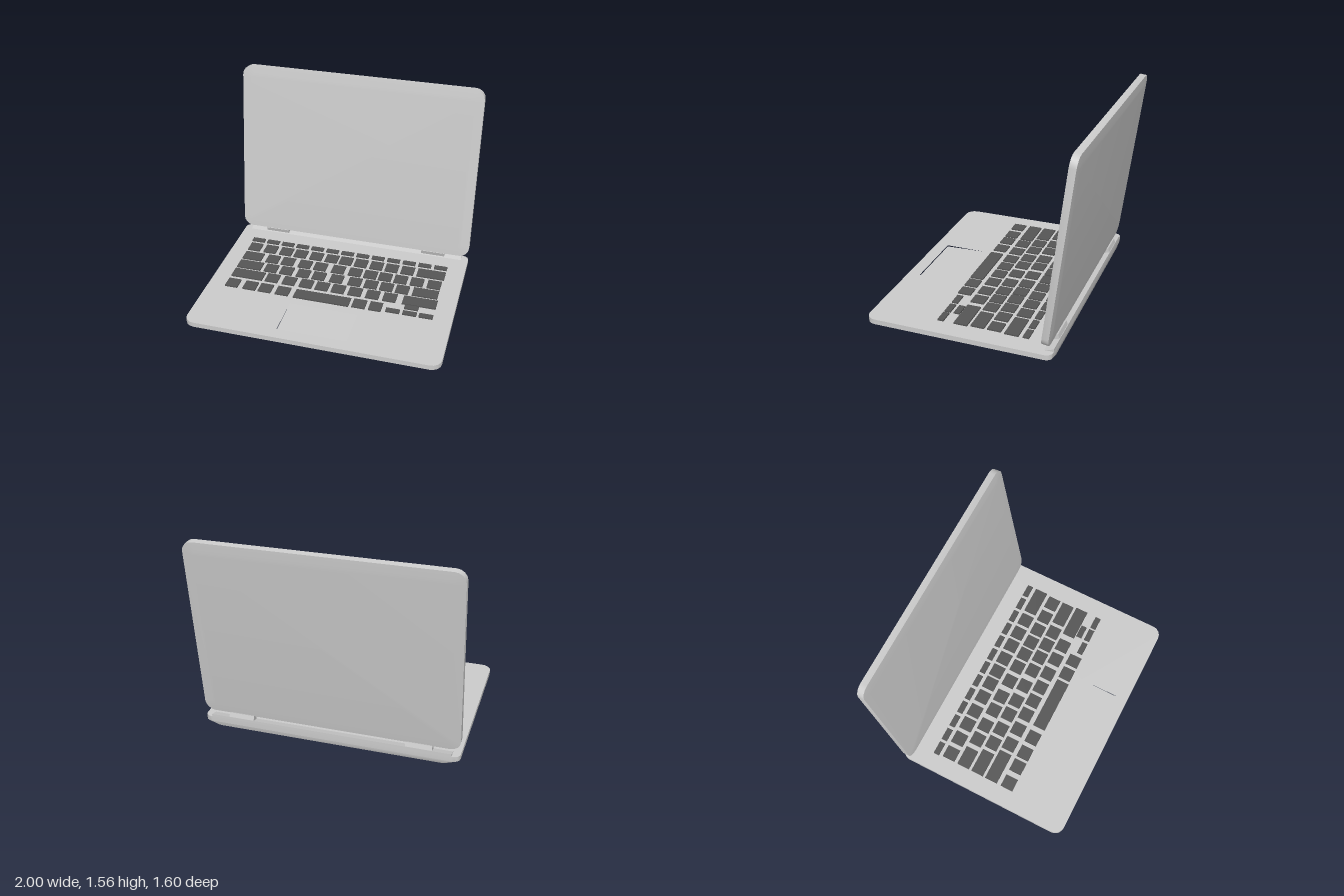
import * as THREE from 'three';
import { toCreasedNormals } from 'three/addons/utils/BufferGeometryUtils.js';

const grey = new THREE.MeshStandardMaterial({ color: 0xcccccc });
const dark = new THREE.MeshStandardMaterial({ color: 0x555555 });

function add(parent, name, geometry, material = grey) {
  const mesh = new THREE.Mesh(geometry, material);
  mesh.name = name;
  parent.add(mesh);
  return mesh;
}

// Rounded rectangle in (x, -z), counter-clockwise from above
function outline(halfX, back, front, rFront, rBack) {
  const pts = [];
  const corner = (x, s, r, start) => {
    for (let i = 0; i <= 4; i++) {
      const a = start + (i / 4) * Math.PI / 2;
      pts.push(new THREE.Vector2(x + r * Math.cos(a), s + r * Math.sin(a)));
    }
  };
  corner(halfX - rBack, -back - rBack, rBack, 0);
  corner(-halfX + rBack, -back - rBack, rBack, Math.PI / 2);
  corner(-halfX + rFront, -front + rFront, rFront, Math.PI);
  corner(halfX - rFront, -front + rFront, rFront, Math.PI * 1.5);
  return pts;
}

// Skin stacked outlines from bottom to top, with a flat bottom and optional top
function loft(rings, capTop) {
  const pos = [], index = [], n = rings[0].pts.length;
  for (const { y, pts } of rings) for (const p of pts) pos.push(p.x, y, -p.y);
  for (let r = 0; r < rings.length - 1; r++) {
    for (let i = 0; i < n; i++) {
      const j = (i + 1) % n, a = r * n + i, b = r * n + j;
      index.push(a, b, b + n, a, b + n, a + n);
    }
  }
  const last = (rings.length - 1) * n;
  for (let i = 1; i < n - 1; i++) {
    index.push(0, i + 1, i);
    if (capTop) index.push(last, last + i, last + i + 1);
  }
  const g = new THREE.BufferGeometry();
  g.setAttribute('position', new THREE.Float32BufferAttribute(pos, 3));
  g.setIndex(index);
  return toCreasedNormals(g, 0.6);
}

function box(x0, x1, y0, y1, z0, z1) {
  return new THREE.BoxGeometry(x1 - x0, y1 - y0, z1 - z0)
    .translate((x0 + x1) / 2, (y0 + y1) / 2, (z0 + z1) / 2);
}

function makeBase() {
  const base = new THREE.Group();
  base.name = 'base';
  const TOP = 0.07;
  const rim = outline(1, -0.65, 0.8, 0.08, 0.05);

  // Shell with an underside that slopes in at the front and sides
  add(base, 'baseShell', loft([
    { y: 0, pts: outline(0.92, -0.645, 0.71, 0.08, 0.05) },
    { y: 0.03, pts: rim },
    { y: TOP, pts: rim },
  ], false));

  // Deck with an opening for the trackpad
  const pad = { x0: -0.275, x1: 0.275, z0: 0.375, z1: 0.7 };
  const deck = new THREE.Shape(rim);
  deck.holes.push(new THREE.Path([
    new THREE.Vector2(pad.x0, -pad.z0), new THREE.Vector2(pad.x1, -pad.z0),
    new THREE.Vector2(pad.x1, -pad.z1), new THREE.Vector2(pad.x0, -pad.z1),
  ]));
  add(base, 'deck', new THREE.ShapeGeometry(deck).rotateX(-Math.PI / 2).translate(0, TOP, 0));

  // Trackpad, flush at the back and slightly sunk at the front
  const trackpad = box(pad.x0, pad.x1, 0.045, TOP, pad.z0, pad.z1);
  const p = trackpad.attributes.position;
  for (let i = 0; i < p.count; i++) {
    if (p.getY(i) > 0.06 && p.getZ(i) > 0.6) p.setY(i, TOP - 0.01);
  }
  trackpad.computeVertexNormals();
  add(base, 'trackpad', trackpad);

  // Raised wedge along the back edge
  const wedge = new THREE.Shape([
    new THREE.Vector2(-0.65, 0.06), new THREE.Vector2(-0.58, 0.06),
    new THREE.Vector2(-0.58, 0.07), new THREE.Vector2(-0.65, 0.09),
  ]);
  add(base, 'rearWedge', new THREE.ExtrudeGeometry(wedge, { depth: 1.88, bevelEnabled: false })
    .rotateY(-Math.PI / 2).translate(0.94, 0, 0));
  return base;
}

function makeKeyboard() {
  const keys = new THREE.Group();
  keys.name = 'keyboard';
  const key = (x0, x1, z0, z1) => add(keys, 'key', box(x0, x1, 0.068, 0.081, z0, z1), dark);

  // Row of left edges; the first and last keys may be wider
  const row = (z0, z1, lefts, firstEnd, lastEnd) => lefts.forEach((x, i) => {
    const end = i === 0 ? firstEnd : i === lefts.length - 1 ? lastEnd : x + 0.107;
    key(x, end, z0, z1);
  });
  const functionRow = Array.from({ length: 13 }, (_, i) => -0.865 + i * 0.134);
  row(-0.435, -0.387, functionRow, -0.755, 0.85);
  row(-0.355, -0.247, [-0.855, -0.715, -0.575, -0.445, -0.305, -0.17, -0.045, 0.085, 0.22, 0.35, 0.485, 0.62], -0.75, 0.85);
  row(-0.217, -0.11, [-0.855, -0.65, -0.515, -0.365, -0.23, -0.075, 0.07, 0.2, 0.325, 0.455, 0.59, 0.73], -0.69, 0.84);
  row(-0.086, 0.02, [-0.855, -0.62, -0.485, -0.34, -0.205, -0.055, 0.1, 0.235, 0.365, 0.495, 0.635], -0.65, 0.84);
  row(0.043, 0.15, [-0.855, -0.565, -0.42, -0.275, -0.14, -0.005, 0.135, 0.28, 0.42, 0.58], -0.59, 0.85);
  row(0.187, 0.293, [-0.855, -0.705, -0.575, -0.43], -0.75, -0.32);
  key(-0.275, 0.18, 0.19, 0.297);
  row(0.187, 0.293, [0.205, 0.34], 0.312, 0.44);

  // Arrow keys
  for (const x of [0.475, 0.61, 0.738]) key(x, x + 0.11, 0.232, 0.28);
  key(0.61, 0.72, 0.158, 0.206);
  return keys;
}

function makeLid() {
  // Flat slab with a very shallow border slope, leaning back
  const H = 0.728, T = 0.062, B = 0.07;
  const rim = outline(1, -H, H, 0.08, 0.08);
  const face = outline(1 - B, -H + B, H - B, 0.03, 0.03);
  const lid = new THREE.Mesh(loft([
    { y: 0, pts: face },
    { y: 0.005, pts: rim },
    { y: T - 0.005, pts: rim },
    { y: T, pts: face },
  ], true), grey);
  lid.name = 'screenLid';
  lid.rotation.x = Math.PI / 2 - 0.123;
  lid.position.set(0, 0.835, -0.714);
  return lid;
}

export function createModel() {
  const model = new THREE.Group();
  model.name = 'laptop';
  model.add(makeBase(), makeKeyboard(), makeLid());

  // Hinge blocks joining lid and base
  for (const side of [-1, 1]) {
    const hinge = add(model, side > 0 ? 'leftHinge' : 'rightHinge', new THREE.BoxGeometry(0.2, 0.045, 0.055));
    hinge.position.set(side * 0.695, 0.093, -0.615);
    hinge.rotation.x = 0.3;
  }
  return model;
}
